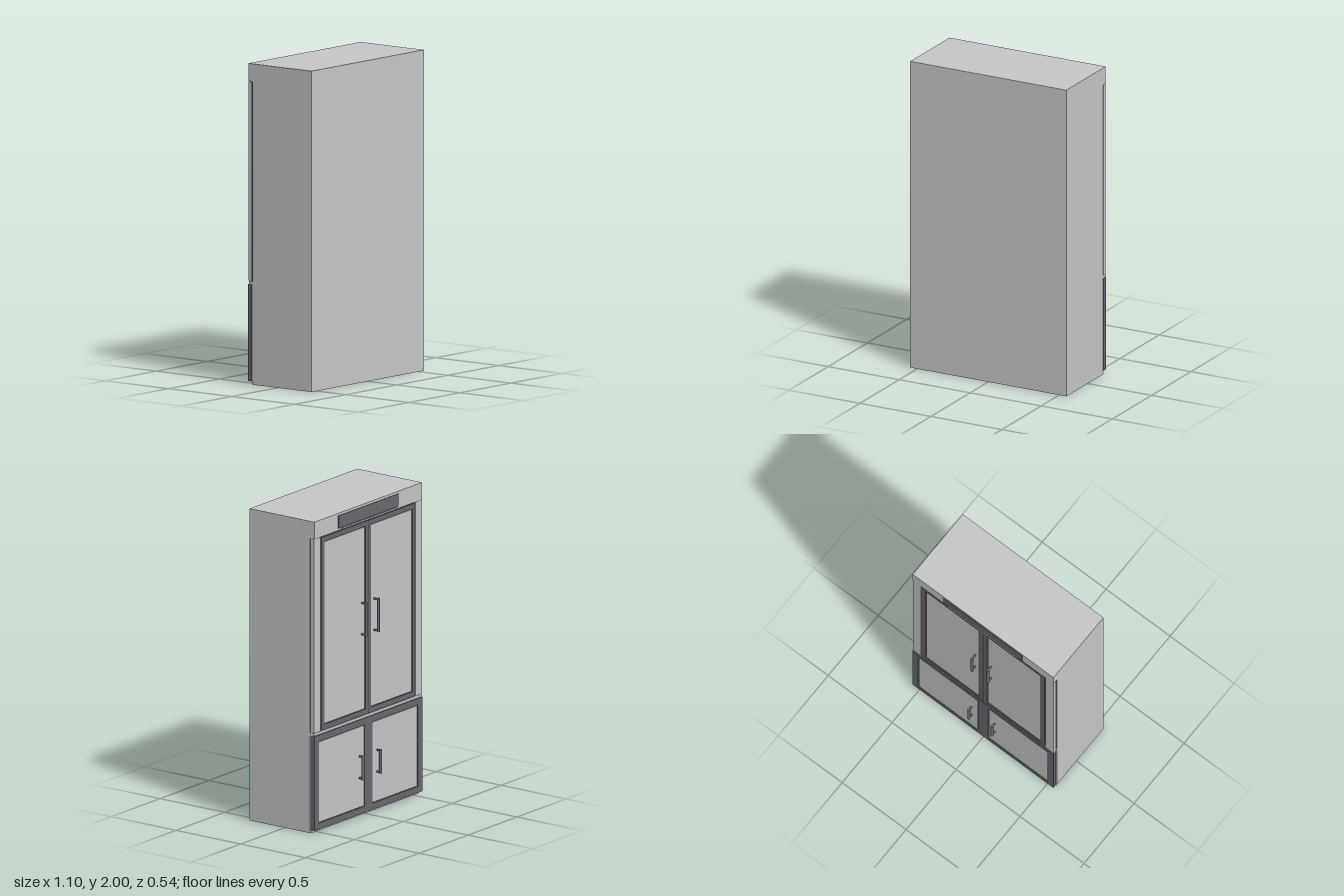
import * as THREE from 'three';

export function createModel() {
  const model = new THREE.Group();
  const mat = (name, color) => new THREE.MeshStandardMaterial({ name, color });
  const steel = mat('light steel', 0xc4c6c8);
  const trim = mat('dark trim', 0x68686e);
  const seam = mat('seam shadow', 0x3c3c40);

  function add(name, geometry, material) {
    const mesh = new THREE.Mesh(geometry, material);
    mesh.name = name;
    model.add(mesh);
    return mesh;
  }
  // Box given by its limits on each axis
  function box(name, x0, x1, y0, y1, z0, z1, material) {
    const mesh = add(name, new THREE.BoxGeometry(x1 - x0, y1 - y0, z1 - z0), material);
    mesh.position.set((x0 + x1) / 2, (y0 + y1) / 2, (z0 + z1) / 2);
    return mesh;
  }
  function rect(path, x0, x1, y0, y1) {
    path.moveTo(x0, y0).lineTo(x1, y0).lineTo(x1, y1).lineTo(x0, y1).closePath();
    return path;
  }
  // Rectangular frame with one opening on each side of the centre line
  function doubleFrame(name, halfWidth, y0, y1, hole, z0, z1) {
    const shape = rect(new THREE.Shape(), -halfWidth, halfWidth, y0, y1);
    const [a, b, h0, h1] = hole;
    shape.holes.push(rect(new THREE.Path(), a, b, h0, h1), rect(new THREE.Path(), -b, -a, h0, h1));
    const geometry = new THREE.ExtrudeGeometry(shape, { depth: z1 - z0, bevelEnabled: false });
    add(name, geometry, trim).position.z = z0;
  }

  // Cabinet with a header above the doors
  box('cabinet', -0.55, 0.55, 0, 2, -0.195, 0.27, steel);
  box('header', -0.55, 0.55, 1.89, 2, -0.23, -0.195, steel);
  box('baseLip', -0.55, 0.55, 0, 0.012, -0.203, -0.195, steel);
  box('shelfRail', -0.55, 0.55, 0.626, 0.643, -0.227, -0.195, steel);

  // Recessed gaskets behind the doors
  box('upperGasket', -0.545, 0.545, 0.643, 1.89, -0.205, -0.195, seam);
  box('lowerGasket', -0.545, 0.545, 0.02, 0.626, -0.205, -0.195, steel);

  // Upper doors, lower doors
  doubleFrame('upperDoorFrame', 0.48, 0.647, 1.884, [0.03, 0.45, 0.68, 1.853], -0.23, -0.205);
  doubleFrame('lowerDoorFrame', 0.55, 0.02, 0.625, [0.04, 0.506, 0.06, 0.583], -0.232, -0.205);
  box('upperDoorSplit', -0.002, 0.002, 0.647, 1.884, -0.231, -0.23, seam);

  for (const s of [-1, 1]) {
    const side = s > 0 ? 'left' : 'right';
    const panel = (name, a, b, y0, y1, z0, z1, m) =>
      box(side + name, Math.min(s * a, s * b), Math.max(s * a, s * b), y0, y1, z0, z1, m);
    panel('SidePanel', 0.486, 0.55, 0.645, 1.888, -0.228, -0.205, steel);

    // Door panels set inside a thin dark seam
    panel('UpperDoorPanel', 0.034, 0.446, 0.684, 1.849, -0.227, -0.205, steel);
    panel('LowerDoorPanel', 0.044, 0.502, 0.064, 0.579, -0.229, -0.205, steel);
    panel('LowerDoorSeam', 0.04, 0.506, 0.06, 0.583, -0.207, -0.204, seam);

    // Handles: a round bar on two posts
    for (const [name, x, y0, y1, z] of [
      ['UpperHandle', 0.062, 1.16, 1.377, -0.261],
      ['LowerHandle', 0.09, 0.245, 0.4, -0.257],
    ]) {
      const bar = add(side + name + 'Bar', new THREE.CylinderGeometry(0.009, 0.009, y1 - y0, 16), trim);
      bar.position.set(s * x, (y0 + y1) / 2, z);
      for (const y of [y0 + 0.008, y1 - 0.008]) {
        const post = add(side + name + 'Post', new THREE.CylinderGeometry(0.0065, 0.0065, -0.225 - z, 12), trim);
        post.rotation.x = Math.PI / 2;
        post.position.set(s * x, y, (z - 0.225) / 2);
      }
    }
  }

  // Vent grille in the header, with a narrow ledge below it
  box('ventGrille', -0.307, 0.307, 1.908, 1.985, -0.234, -0.229, trim);
  box('ventLedge', -0.275, 0.275, 1.893, 1.902, -0.238, -0.229, steel);
  box('ventLedgeSeam', -0.307, 0.307, 1.902, 1.908, -0.233, -0.229, seam);

  return model;
}
